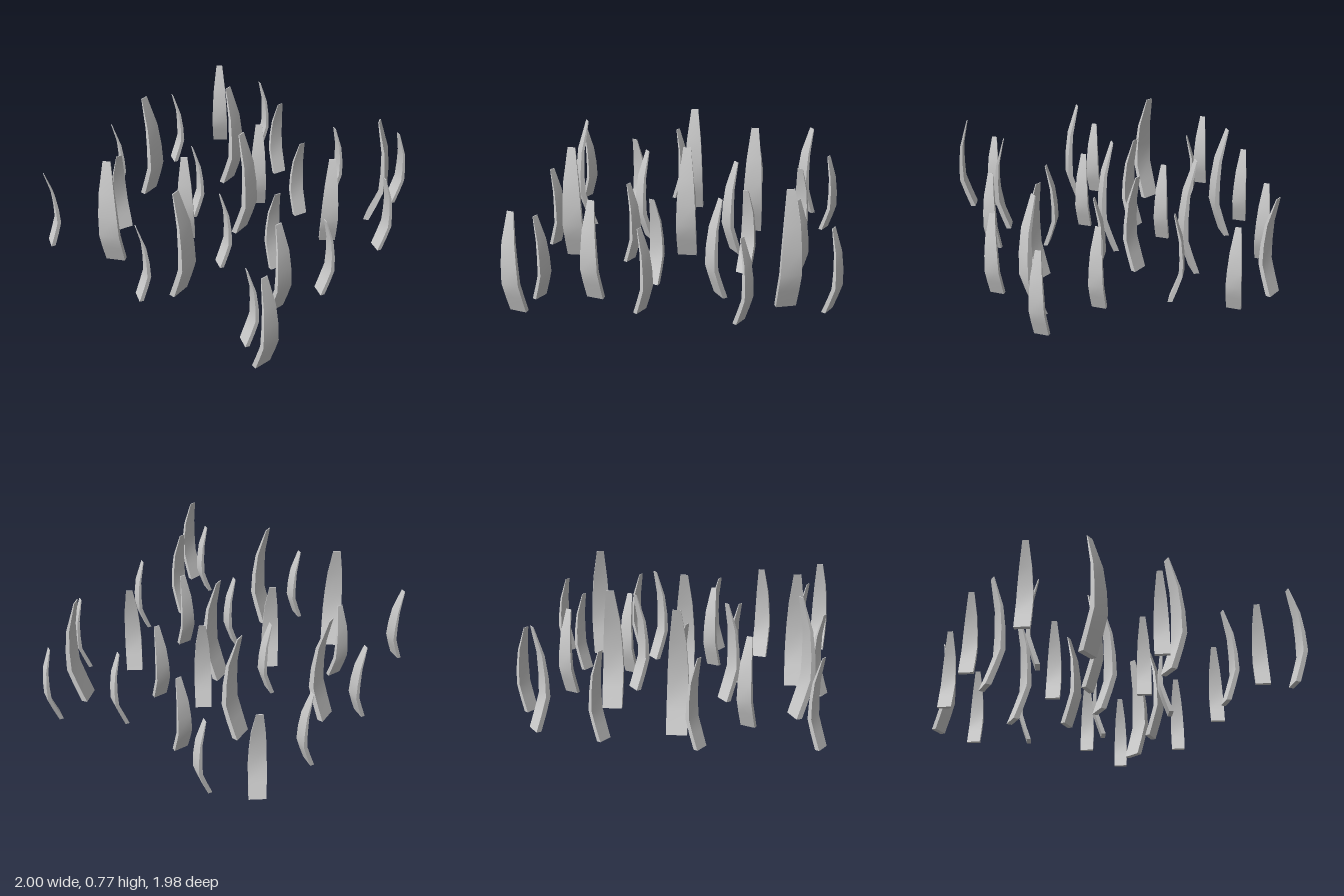
import * as THREE from 'three';

// Blade cross-sections from root to tip: [y, front z, back z, half width]
const ROWS = [
  [0, -0.022, -0.06, 0.063],
  [0.13, 0.022, -0.014, 0.065],
  [0.25, 0.058, 0.024, 0.065],
  [0.4, 0.054, 0.026, 0.06],
  [0.56, 0.036, 0.016, 0.05],
  [0.77, -0.025, -0.031, 0.025],
];

// One bent, tapering blade: four smooth strips with sharp edges, plus end caps
function bladeGeometry() {
  const pos = [], idx = [];
  const corners = ([y, f, b, w]) => [[-w, y, f], [w, y, f], [w, y, b], [-w, y, b]];
  for (let s = 0; s < 4; s++) {
    const start = pos.length / 3;
    ROWS.forEach((row, i) => {
      const c = corners(row);
      pos.push(...c[s], ...c[(s + 1) % 4]);
      if (i === 0) return;
      const a = start + (i - 1) * 2;
      idx.push(a, a + 1, a + 3, a, a + 3, a + 2);
    });
  }
  const cap = (row, order) => {
    const start = pos.length / 3, c = corners(row);
    order.forEach((k) => pos.push(...c[k]));
    idx.push(start, start + 1, start + 2, start, start + 2, start + 3);
  };
  cap(ROWS[0], [0, 3, 2, 1]);
  cap(ROWS[ROWS.length - 1], [0, 1, 2, 3]);
  const geo = new THREE.BufferGeometry();
  geo.setAttribute('position', new THREE.Float32BufferAttribute(pos, 3));
  geo.setIndex(idx);
  geo.computeVertexNormals();
  return geo;
}

// Blades grouped by height and facing angle (degrees), placed at [x, z]
const KINDS = [
  { name: 'tallBlade', height: 0.77, angle: 0,
    at: [[-0.05, -0.73], [0.405, -0.365], [-0.75, 0.155], [-0.01, 0.07]] },
  { name: 'tallLeftTurnedBlade', height: 0.77, angle: -63, at: [[-0.79, -0.4]] },
  { name: 'tallRightTurnedBlade', height: 0.77, angle: 17, at: [[0.675, 0.685]] },
  { name: 'mediumBlade', height: 0.655, angle: -14, at: [[-0.51, 0.715], [-0.935, 0.925]] },
  { name: 'mediumTurnedBlade', height: 0.65, angle: -53,
    at: [[0.78, -0.77], [-0.325, -0.175], [0.285, -0.035], [0.235, 0.585]] },
  { name: 'backFacingBlade', height: 0.575, angle: 156,
    at: [[-0.46, -0.63], [0.73, -0.187], [0.395, 0.23], [-0.17, 0.435]] },
  { name: 'shortBlade', height: 0.55, angle: 59,
    at: [[-0.875, -0.86], [-0.18, -0.93], [0.395, -0.875], [0.935, -0.485],
      [-0.05, -0.315], [-0.915, -0.025], [-0.36, 0.17], [0.735, 0.305],
      [-0.825, 0.73], [0.94, 0.69], [-0.18, 0.83], [0.42, 0.885]] },
];

export function createModel() {
  const group = new THREE.Group();
  group.name = 'grassPatch';
  const geo = bladeGeometry();
  const mat = new THREE.MeshStandardMaterial({ color: 0xcccccc });
  for (const { name, height, angle, at } of KINDS) {
    at.forEach(([x, z], i) => {
      const blade = new THREE.Mesh(geo, mat);
      blade.name = name + (i + 1);
      blade.scale.setScalar(height / 0.77);
      blade.rotation.y = THREE.MathUtils.degToRad(angle);
      blade.position.set(x, 0, z);
      group.add(blade);
    });
  }
  return group;
}
